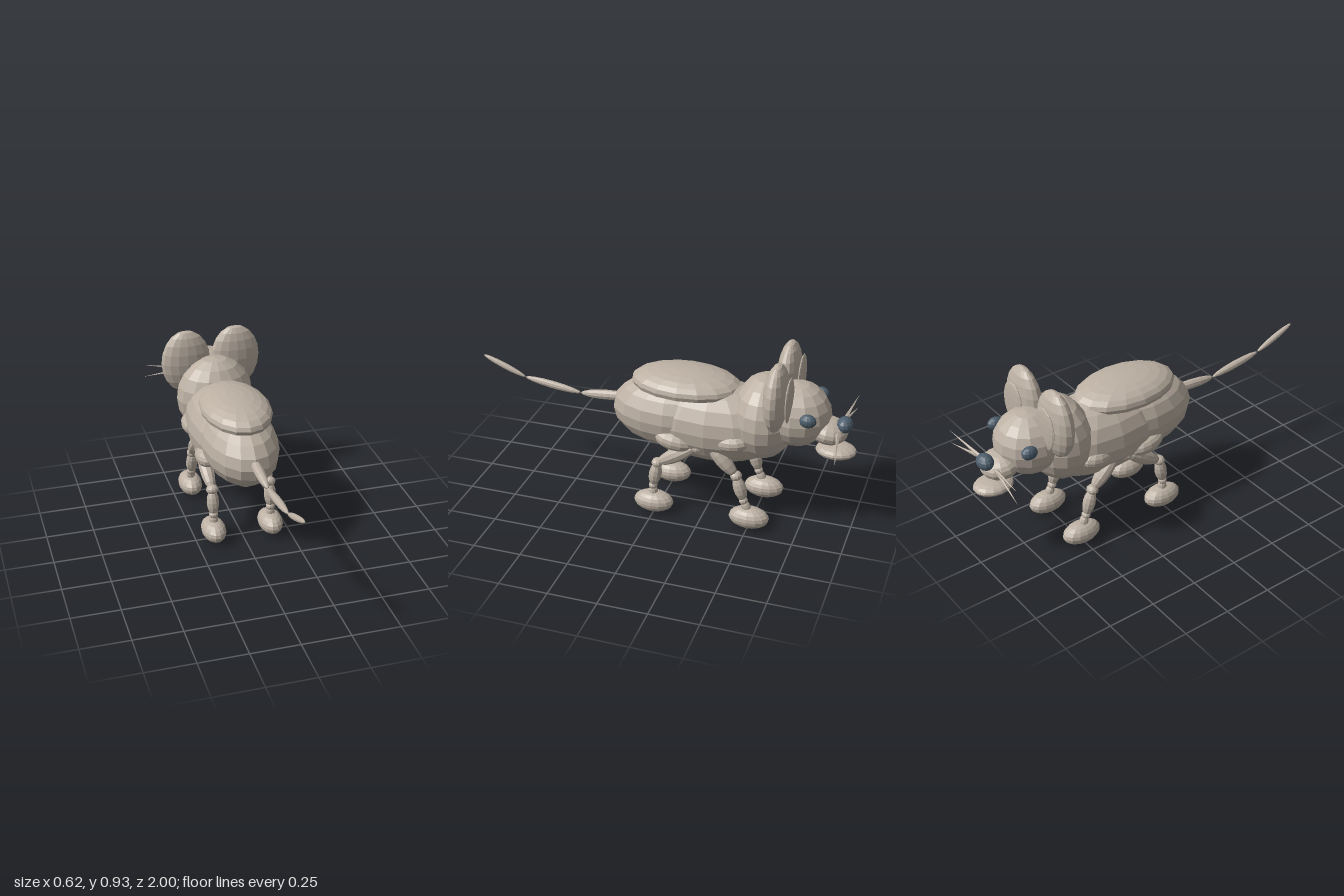
import * as THREE from 'three';

const fur = new THREE.MeshStandardMaterial({ color: 0xbcb0a3 });
fur.name = 'fur';
const dark = new THREE.MeshStandardMaterial({ color: 0x4d5e6c });
dark.name = 'eyeAndNose';

// Faceted look: every face gets its own normal
function faceted(geometry) {
  const flat = geometry.index ? geometry.toNonIndexed() : geometry;
  flat.computeVertexNormals();
  return flat;
}

function addMesh(parent, name, geometry, material) {
  const mesh = new THREE.Mesh(faceted(geometry), material);
  mesh.name = name;
  parent.add(mesh);
  return mesh;
}

// Low-poly ellipsoid; tilt turns it about the x axis
function blob(parent, name, pos, radii, { material = fur, tilt = 0, w = 14, h = 10 } = {}) {
  const geometry = new THREE.SphereGeometry(1, w, h).scale(...radii).rotateX(tilt);
  const mesh = addMesh(parent, name, geometry, material);
  mesh.position.set(...pos);
  return mesh;
}

// Spindle whose two tips lie at a and b
function spindle(parent, name, a, b, radius) {
  const from = new THREE.Vector3(...a), to = new THREE.Vector3(...b);
  const dir = to.clone().sub(from);
  const geometry = new THREE.SphereGeometry(1, 10, 8).scale(radius, dir.length() / 2, radius);
  const mesh = addMesh(parent, name, geometry, fur);
  mesh.position.copy(from).add(to).multiplyScalar(0.5);
  mesh.quaternion.setFromUnitVectors(new THREE.Vector3(0, 1, 0), dir.normalize());
  return mesh;
}

function addLeg(parent, side, name, p) {
  const leg = new THREE.Group();
  leg.name = name;
  const x = side * 0.155;
  blob(leg, 'haunch', [side * 0.165, ...p.haunch], p.haunchSize, { tilt: p.tilt, w: 12, h: 8 });
  spindle(leg, 'thigh', [side * 0.16, ...p.hip], [x, ...p.knee], 0.038);
  blob(leg, 'knee', [x, ...p.knee], [0.033, 0.026, 0.03], { w: 10, h: 8 });
  spindle(leg, 'shin', [x, ...p.knee], [x, ...p.ankle], 0.033);
  blob(leg, 'ankle', [x, ...p.ankle], [0.025, 0.021, 0.023], { w: 10, h: 8 });
  spindle(leg, 'lowerAnkle', [x, ...p.ankle], [x, 0.08, p.foot], 0.024);
  blob(leg, 'foot', [x, 0.06, p.foot], [0.064, 0.057, 0.105], { w: 14, h: 10 });
  parent.add(leg);
}

function addWhisker(parent, side, tipY) {
  const base = new THREE.Vector3(side * 0.07, 0.565, -0.91);
  const dir = new THREE.Vector3(side * 0.31, tipY, -0.945).sub(base);
  const geometry = new THREE.ConeGeometry(0.011, dir.length(), 5);
  const mesh = addMesh(parent, 'whisker', geometry, fur);
  mesh.position.copy(base).addScaledVector(dir, 0.5);
  mesh.quaternion.setFromUnitVectors(new THREE.Vector3(0, 1, 0), dir.normalize());
}

export function createModel() {
  const mouse = new THREE.Group();
  mouse.name = 'mouse';

  // Torso
  blob(mouse, 'rump', [0, 0.525, -0.05], [0.195, 0.19, 0.32], { w: 16 });
  blob(mouse, 'belly', [0, 0.51, -0.27], [0.212, 0.213, 0.4], { w: 16 });
  blob(mouse, 'chest', [0, 0.575, -0.53], [0.21, 0.222, 0.165], { w: 16 });

  // Domed pad on the back with a flat underside
  const pad = new THREE.SphereGeometry(1, 16, 12);
  const pos = pad.attributes.position;
  for (let i = 0; i < pos.count; i++) pos.setY(i, Math.max(pos.getY(i), -0.26));
  pad.scale(0.182, 0.08, 0.285);
  addMesh(mouse, 'backPad', pad, fur).position.set(0, 0.692, -0.118);

  // Head
  blob(mouse, 'head', [0, 0.615, -0.69], [0.17, 0.165, 0.172], { w: 14 });
  blob(mouse, 'muzzle', [0, 0.545, -0.85], [0.103, 0.063, 0.1], { tilt: -0.15 });
  blob(mouse, 'chin', [0, 0.44, -0.895], [0.085, 0.035, 0.103]);
  blob(mouse, 'nose', [0, 0.588, -0.93], [0.053, 0.04, 0.041], { material: dark, w: 12, h: 8 });

  for (const side of [-1, 1]) {
    const label = side > 0 ? 'left' : 'right';
    blob(mouse, label + 'Eye', [side * 0.153, 0.66, -0.775], [0.031, 0.034, 0.042], { material: dark, w: 12, h: 8 });
    blob(mouse, label + 'Ear', [side * 0.137, 0.752, -0.613], [0.135, 0.178, 0.061], { w: 16, h: 10 });
    blob(mouse, label + 'InnerEar', [side * 0.138, 0.748, -0.677], [0.082, 0.117, 0.014], { w: 14, h: 10 });
    addWhisker(mouse, side, 0.605);
    addWhisker(mouse, side, 0.53);

    // Legs, each described by (y, z) pairs
    addLeg(mouse, side, label + 'TailEndLeg', {
      haunch: [0.44, -0.105], haunchSize: [0.053, 0.05, 0.1], tilt: -0.15,
      hip: [0.425, -0.225], knee: [0.29, -0.015], ankle: [0.152, 0.008], foot: 0.005,
    });
    addLeg(mouse, side, label + 'HeadEndLeg', {
      haunch: [0.48, -0.405], haunchSize: [0.053, 0.05, 0.085], tilt: 0.1,
      hip: [0.45, -0.285], knee: [0.29, -0.43], ankle: [0.152, -0.472], foot: -0.503,
    });
    blob(mouse, label + 'HipJoint', [side * 0.16, 0.42, -0.23], [0.034, 0.03, 0.034], { w: 10, h: 8 });
  }

  // Tail of three spindles end to end
  const tail = [[0, 0.56, 0.16], [0, 0.535, 0.455], [0, 0.578, 0.765], [0, 0.672, 1.0]];
  [0.026, 0.02, 0.016].forEach((r, i) => spindle(mouse, 'tailSegment', tail[i], tail[i + 1], r));

  return mouse;
}
